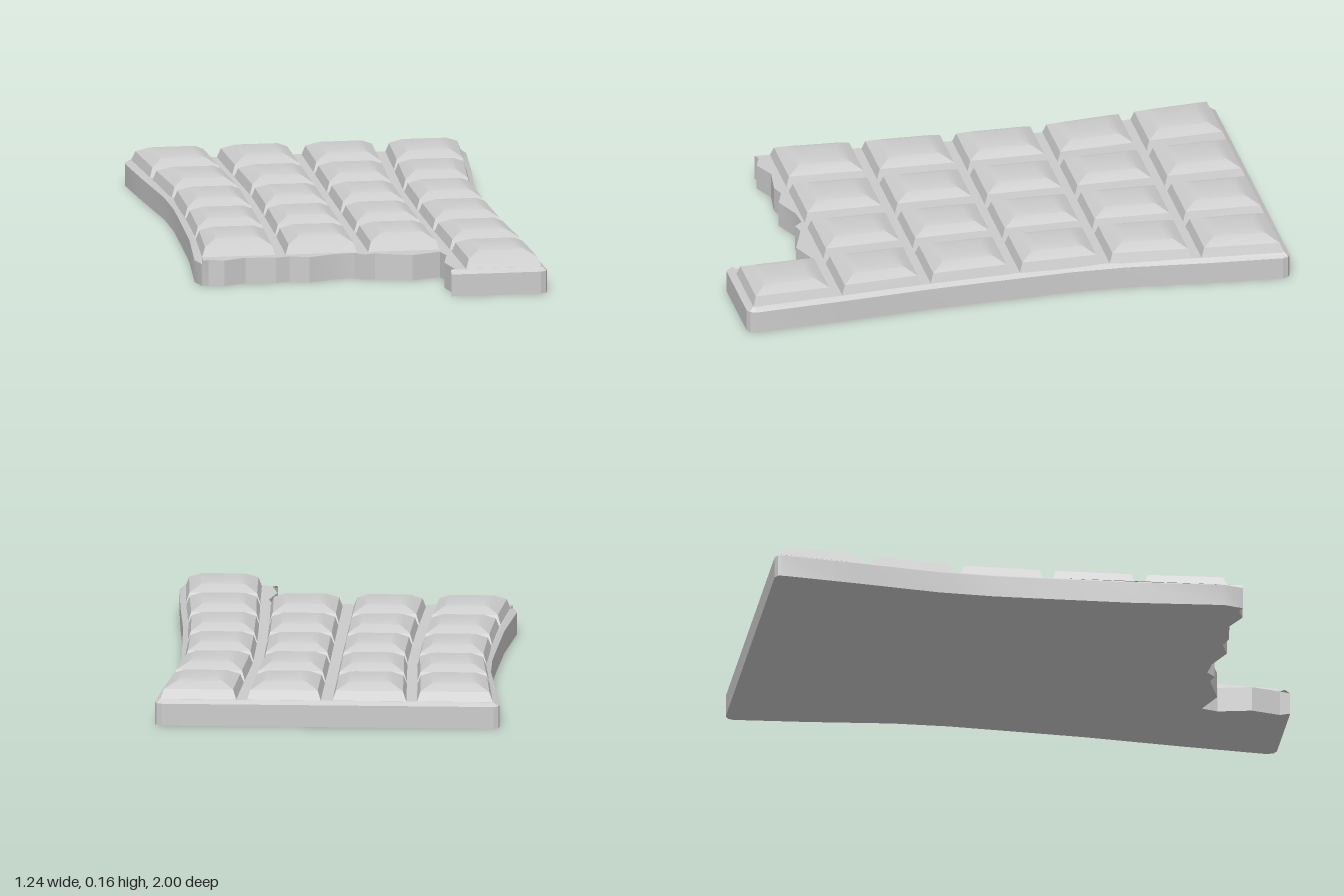
import * as THREE from 'three';
import { toCreasedNormals } from 'three/addons/utils/BufferGeometryUtils.js';

// Half width of the waisted bar along its length: [z, half width]
const WAIST = [[-1, 0.62], [-0.7, 0.595], [-0.4, 0.563], [-0.2, 0.558], [0, 0.565],
  [0.3, 0.577], [0.65, 0.603], [1, 0.622]];
const SLAB_TOP = 0.093, EDGE_TOP = 0.08, BEVEL = 0.02;

function halfWidth(z) {
  const i = Math.max(1, WAIST.findIndex(p => p[0] >= z));
  const [z0, w0] = WAIST[i - 1], [z1, w1] = WAIST[i];
  return w0 + (w1 - w0) * (z - z0) / (z1 - z0);
}

// Flat slab with a bevelled rim and a torn front edge
function slabGeometry() {
  const torn = [[-0.607, 0.63], [-0.59, 0.7], [-0.565, 0.69], [-0.51, 0.71], [-0.43, 0.675],
    [-0.32, 0.69], [-0.27, 0.675], [-0.2, 0.7], [-0.1, 0.66], [-0.03, 0.655], [0, 0.685],
    [0.04, 0.675], [0.17, 0.72], [0.275, 0.68], [0.29, 0.74], [0.265, 0.86], [0.287, 0.965],
    [0.27, 1]];
  const outline = [...torn, [0.595, 1], [0.614, 0.99], [0.622, 0.965]];
  const sides = WAIST.slice(1, -1);
  for (const [z, w] of [...sides].reverse()) outline.push([w, z]);
  outline.push([0.617, -0.97], [0.61, -0.99], [0.59, -1], [-0.6, -1], [-0.618, -0.99], [-0.62, -0.97]);
  for (const [z, w] of sides.slice(0, -1)) outline.push([-w, z]);

  const shape = new THREE.Shape(outline.map(([x, z]) => new THREE.Vector2(x, -z)));
  const geo = new THREE.ExtrudeGeometry(shape, { depth: SLAB_TOP, steps: 2, bevelEnabled: false });
  geo.rotateX(-Math.PI / 2);
  // Raise the middle ring to the rim and pull the top ring inward
  const p = geo.attributes.position;
  for (let i = 0; i < p.count; i++) {
    const x = p.getX(i), y = p.getY(i), z = p.getZ(i);
    if (y > SLAB_TOP * 0.9) {
      const w = halfWidth(THREE.MathUtils.clamp(z, -1, 1)) - BEVEL;
      p.setX(i, THREE.MathUtils.clamp(x, -w, w));
      p.setZ(i, THREE.MathUtils.clamp(z, -1 + BEVEL, 1 - BEVEL));
    } else if (y > SLAB_TOP * 0.1) p.setY(i, EDGE_TOP);
  }
  return toCreasedNormals(geo, 0.4);
}

// Raised square: nested four-cornered rings, narrowed with the waist
function squareGeometry(x0, x1, z0, z1) {
  const profile = [[0, SLAB_TOP - 0.003], [0.013, 0.127], [0.055, 0.149], [0.08, 0.155]]; // inset, y
  const rings = profile.map(([d, y]) =>
    [[x0 + d, z1 - d], [x1 - d, z1 - d], [x1 - d, z0 + d], [x0 + d, z0 + d]]
      .map(([x, z]) => [x * halfWidth(z) / 0.62, y, z]));
  const pos = [];
  const quad = (a, b, c, d) => pos.push(...a, ...b, ...c, ...a, ...c, ...d);
  for (let r = 0; r < rings.length - 1; r++) {
    for (let i = 0; i < 4; i++) {
      const j = (i + 1) % 4;
      quad(rings[r][i], rings[r][j], rings[r + 1][j], rings[r + 1][i]);
    }
  }
  quad(...rings[rings.length - 1]);
  const geo = new THREE.BufferGeometry();
  geo.setAttribute('position', new THREE.Float32BufferAttribute(pos, 3));
  return toCreasedNormals(geo, 0.5);
}

export function createModel() {
  const group = new THREE.Group();
  group.name = 'brokenChocolateBar';
  const material = new THREE.MeshStandardMaterial({ color: 0xcccccc });
  const add = (geo, name) => {
    const mesh = new THREE.Mesh(geo, material);
    mesh.name = name;
    group.add(mesh);
  };

  add(slabGeometry(), 'slab');

  // Squares: five full rows of four, plus one left on the torn row
  const columns = [[-0.6, -0.325], [-0.288, -0.02], [0.02, 0.288], [0.325, 0.6]];
  for (let row = 0; row < 6; row++) {
    const z0 = -0.977 + row * 0.3312;
    columns.forEach(([x0, x1], col) => {
      if (row === 5 && col < 3) return;
      add(squareGeometry(x0, x1, z0, z0 + 0.298), `squareRow${row + 1}Column${col + 1}`);
    });
  }
  return group;
}
